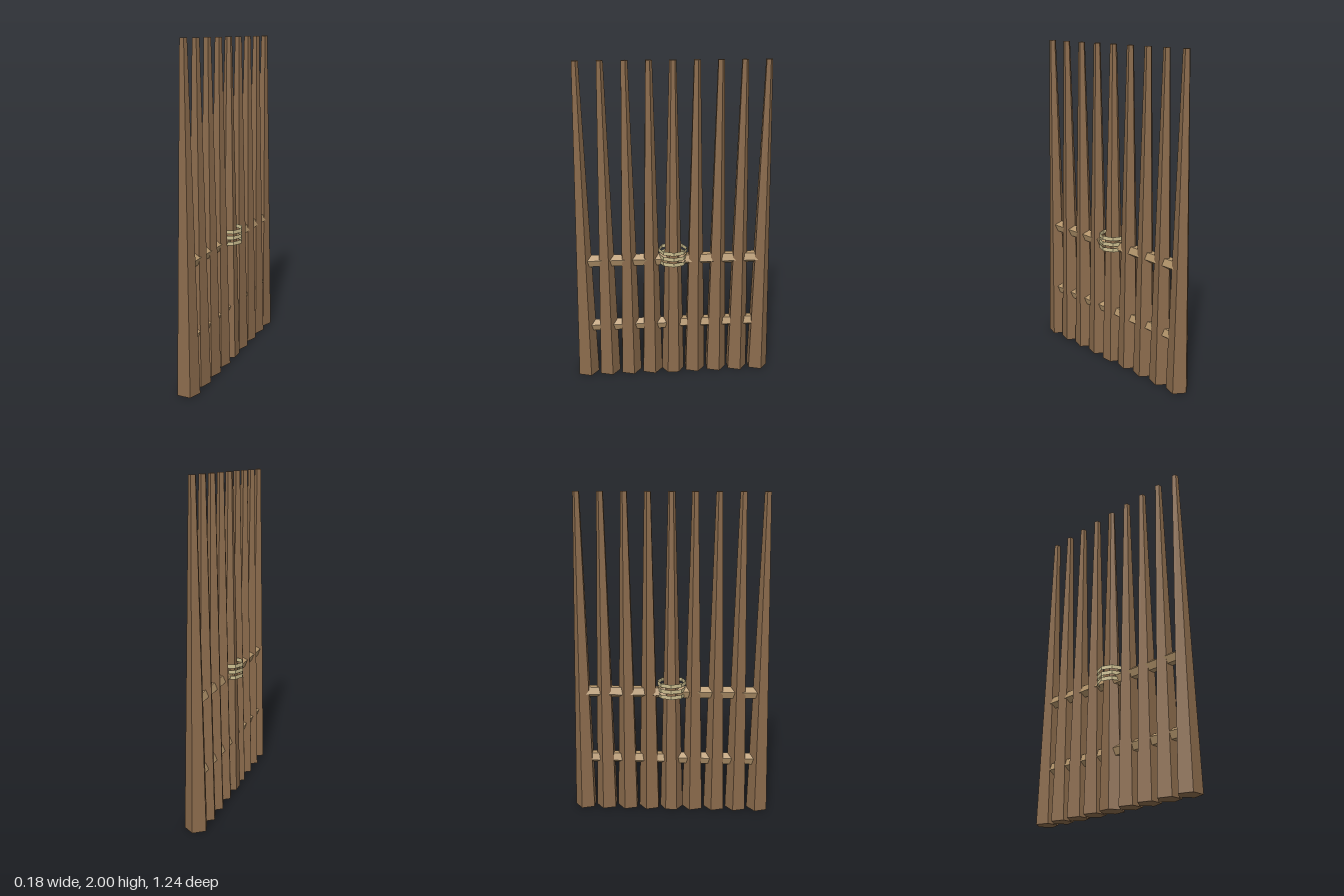
import * as THREE from 'three';

const POSTS = 9, SPACING = 0.139, CENTER_Z = 0.007;

export function createModel() {
  const wood = new THREE.MeshStandardMaterial({ color: 0x8b6b4c });
  wood.name = 'brown wood';
  const paleWood = new THREE.MeshStandardMaterial({ color: 0xb5966c });
  paleWood.name = 'pale wood';
  const rope = new THREE.MeshStandardMaterial({ color: 0xcdbf90, side: THREE.DoubleSide });
  rope.name = 'straw rope';
  for (const m of [wood, paleWood, rope]) m.flatShading = true;

  const model = new THREE.Group();
  model.name = 'palisade';
  const add = (name, geometry, material, x, y, z) => {
    const mesh = new THREE.Mesh(geometry, material);
    mesh.name = name;
    mesh.position.set(x, y, z);
    model.add(mesh);
    return mesh;
  };

  // Tapered posts: five-sided, except the six-sided middle one
  const mid = (POSTS - 1) / 2;
  for (let i = 0; i < POSTS; i++) {
    const isMid = i === mid;
    const geometry = new THREE.CylinderGeometry(0.021, isMid ? 0.072 : 0.07, 2, isMid ? 6 : 5);
    geometry.rotateY(Math.PI);
    add(isMid ? 'middlePost' : 'post', geometry, wood, 0, 1, CENTER_Z + (mid - i) * SPACING);
  }

  // Two rails on each side of the middle post, running out to the end posts
  const length = mid * SPACING;
  for (const side of [1, -1]) {
    for (const y of [0.338, 0.78]) {
      const geometry = new THREE.CylinderGeometry(0.038, 0.038, length, 5);
      geometry.rotateX(-side * Math.PI / 2);
      add(side > 0 ? 'frontRail' : 'backRail', geometry, paleWood, 0, y, CENTER_Z + side * length / 2);
    }
  }

  // Rope bands around the middle post
  for (let i = 0; i < 3; i++) {
    const geometry = new THREE.CylinderGeometry(0.089, 0.089, 0.024, 8, 1, true);
    add('ropeBand', geometry, rope, 0, 0.769 + i * 0.036, CENTER_Z);
  }
  return model;
}
